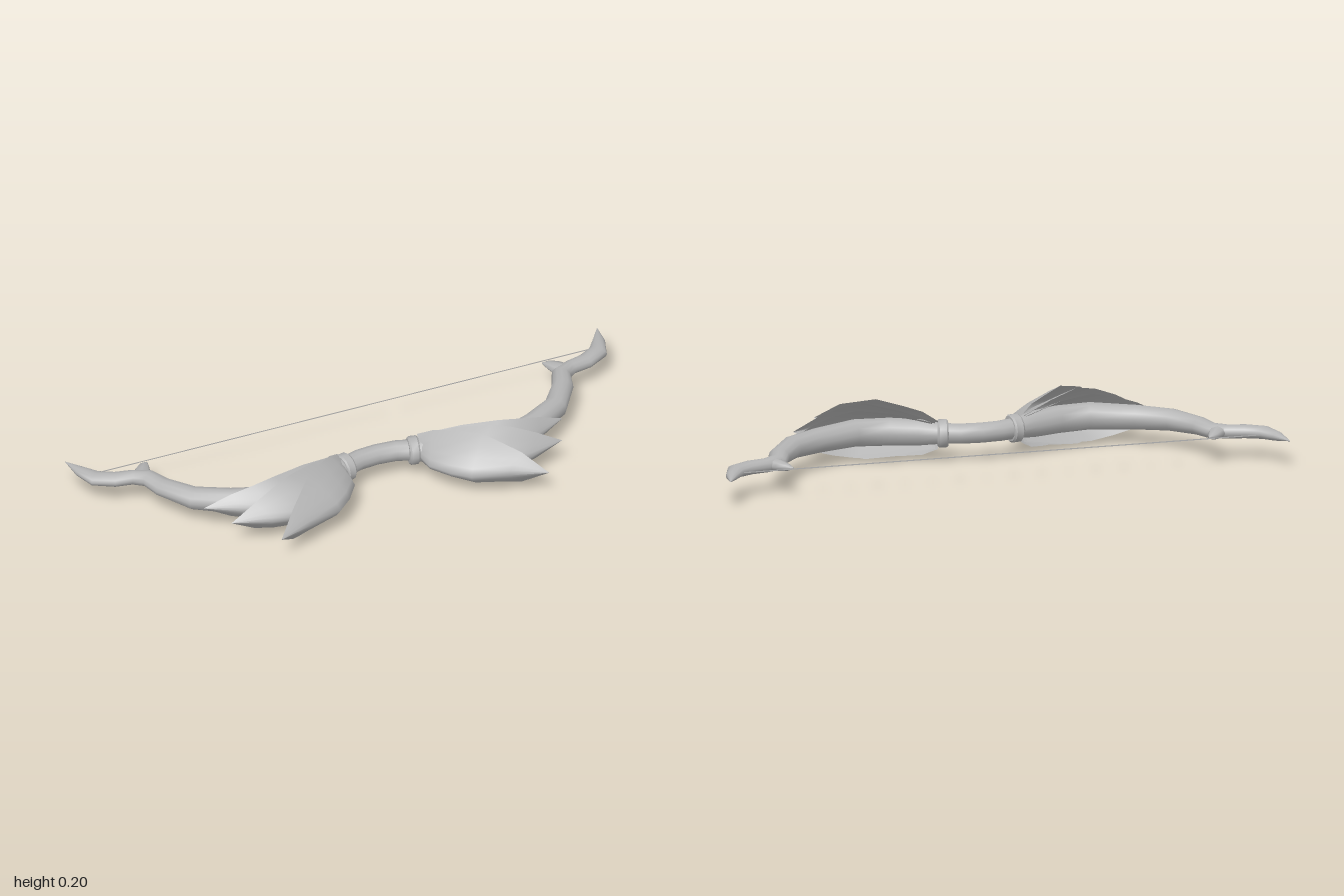
import * as THREE from 'three';
import { toCreasedNormals } from 'three/addons/utils/BufferGeometryUtils.js';

const MID = 0.1; // height of the bow's centre plane

// Indexed surface from rows of points
function skin(rows, closed) {
  const n = rows[0].length, index = [], pos = rows.flat(2);
  const cols = closed ? n : n - 1;
  for (let i = 0; i < rows.length - 1; i++) {
    for (let j = 0; j < cols; j++) {
      const k = (j + 1) % n;
      const a = i * n + j, b = i * n + k, c = (i + 1) * n + k, d = (i + 1) * n + j;
      index.push(a, b, d, b, c, d);
    }
  }
  const g = new THREE.BufferGeometry();
  g.setAttribute('position', new THREE.Float32BufferAttribute(pos, 3));
  g.setIndex(index);
  g.computeVertexNormals();
  return g;
}

// Elliptical sweep through stations [x, z, halfWidth, halfHeight]
function sweep(st, sides = 12) {
  return skin(st.map(([x, z, rw, rh], i) => {
    const p = st[Math.max(i - 1, 0)], q = st[Math.min(i + 1, st.length - 1)];
    const len = Math.hypot(q[0] - p[0], q[1] - p[1]);
    const nx = (q[1] - p[1]) / len, nz = -(q[0] - p[0]) / len;
    return Array.from({ length: sides }, (_, j) => {
      const a = (j / sides) * Math.PI * 2, w = Math.cos(a) * rw;
      return [x + nx * w, MID + Math.sin(a) * rh, z + nz * w];
    });
  }), true);
}

// Curved open shell from stations [ridgeX, ridgeZ, edgeX, edgeZ, halfHeight]
function shell(st) {
  return skin(st.map(([rx, rz, ex, ez, h]) => {
    const row = [];
    for (let j = 4; j >= -4; j--) {
      const t = j / 4, f = Math.abs(t) ** 1.5;
      row.push([rx + (ex - rx) * f, MID + h * t, rz + (ez - rz) * f]);
    }
    return row;
  }), false);
}

// Mirrored copy across x = 0, keeping faces outward
function mirror(g) {
  const m = g.clone().scale(-1, 1, 1);
  const ix = m.index.array;
  for (let i = 0; i < ix.length; i += 3) [ix[i], ix[i + 1]] = [ix[i + 1], ix[i]];
  m.computeVertexNormals();
  return m;
}

export function createModel() {
  const bow = new THREE.Group();
  bow.name = 'bow';
  const grey = new THREE.MeshStandardMaterial({ color: 0xb4b4b4, side: THREE.DoubleSide });
  grey.name = 'grey';

  const add = (name, g) => {
    const m = new THREE.Mesh(g, grey);
    m.name = name;
    bow.add(m);
  };
  const addPair = (name, g, crease) => {
    const finish = (geo) => (crease ? toCreasedNormals(geo, 0.6) : geo);
    add(name + 'Left', finish(g));
    add(name + 'Right', finish(mirror(g)));
  };

  // Grip and both limbs in one sweep
  const half = [
    [0.07, 0.027, 0.036, 0.036], [0.13, 0.047, 0.037, 0.037],
    [0.2, 0.08, 0.042, 0.047], [0.3, 0.118, 0.044, 0.05],
    [0.42, 0.133, 0.043, 0.049], [0.57, 0.073, 0.043, 0.044],
    [0.68, 0.008, 0.042, 0.039], [0.752, -0.095, 0.038, 0.031],
    [0.777, -0.163, 0.034, 0.027], [0.825, -0.19, 0.027, 0.025],
    [0.885, -0.202, 0.031, 0.024], [0.945, -0.235, 0.034, 0.022],
    [0.975, -0.295, 0.022, 0.016], [1.0, -0.366, 0.001, 0.001],
  ];
  const flipped = half.map(([x, ...r]) => [-x, ...r]).reverse();
  add('gripAndLimbs', sweep([...flipped, [0, 0.021, 0.035, 0.036], ...half]));

  // Bevelled collars either side of the grip
  addPair('collar', sweep([
    [0.109, 0.044, 0.03, 0.03], [0.11, 0.0442, 0.045, 0.045],
    [0.116, 0.0455, 0.051, 0.05], [0.14, 0.0505, 0.051, 0.05],
    [0.146, 0.052, 0.045, 0.045], [0.147, 0.0522, 0.03, 0.03],
  ]), true);

  // Hooked nubs on the string side of the limbs
  addPair('nub', sweep([
    [0.8, -0.17, 0.034, 0.024], [0.778, -0.21, 0.028, 0.019],
    [0.76, -0.237, 0.018, 0.012], [0.743, -0.252, 0.002, 0.002],
  ], 8));

  // Three overlapping feather shells on each limb, front to back
  addPair('frontFeather', shell([
    [0.135, 0.09, 0.15, 0.03, 0.05], [0.14, 0.16, 0.195, 0.066, 0.077],
    [0.19, 0.23, 0.255, 0.115, 0.09], [0.245, 0.28, 0.33, 0.185, 0.1],
    [0.37, 0.32, 0.43, 0.29, 0.062], [0.503, 0.36, 0.503, 0.36, 0],
  ]));
  addPair('middleFeather', shell([
    [0.15, 0.09, 0.16, 0.03, 0.048], [0.19, 0.18, 0.27, 0.085, 0.08],
    [0.27, 0.24, 0.38, 0.145, 0.1], [0.37, 0.265, 0.45, 0.17, 0.085],
    [0.487, 0.25, 0.53, 0.19, 0.052], [0.622, 0.2, 0.622, 0.2, 0],
  ]));
  addPair('backFeather', shell([
    [0.16, 0.09, 0.17, 0.03, 0.046], [0.22, 0.16, 0.3, 0.075, 0.075],
    [0.35, 0.2, 0.42, 0.11, 0.084], [0.47, 0.19, 0.5, 0.113, 0.07],
    [0.556, 0.15, 0.58, 0.1, 0.045], [0.675, 0.08, 0.675, 0.08, 0],
  ]));

  // Taut string between the limb tips
  const string = new THREE.PlaneGeometry(1.88, 0.004);
  string.translate(0, MID, -0.262);
  add('string', string);

  return bow;
}
